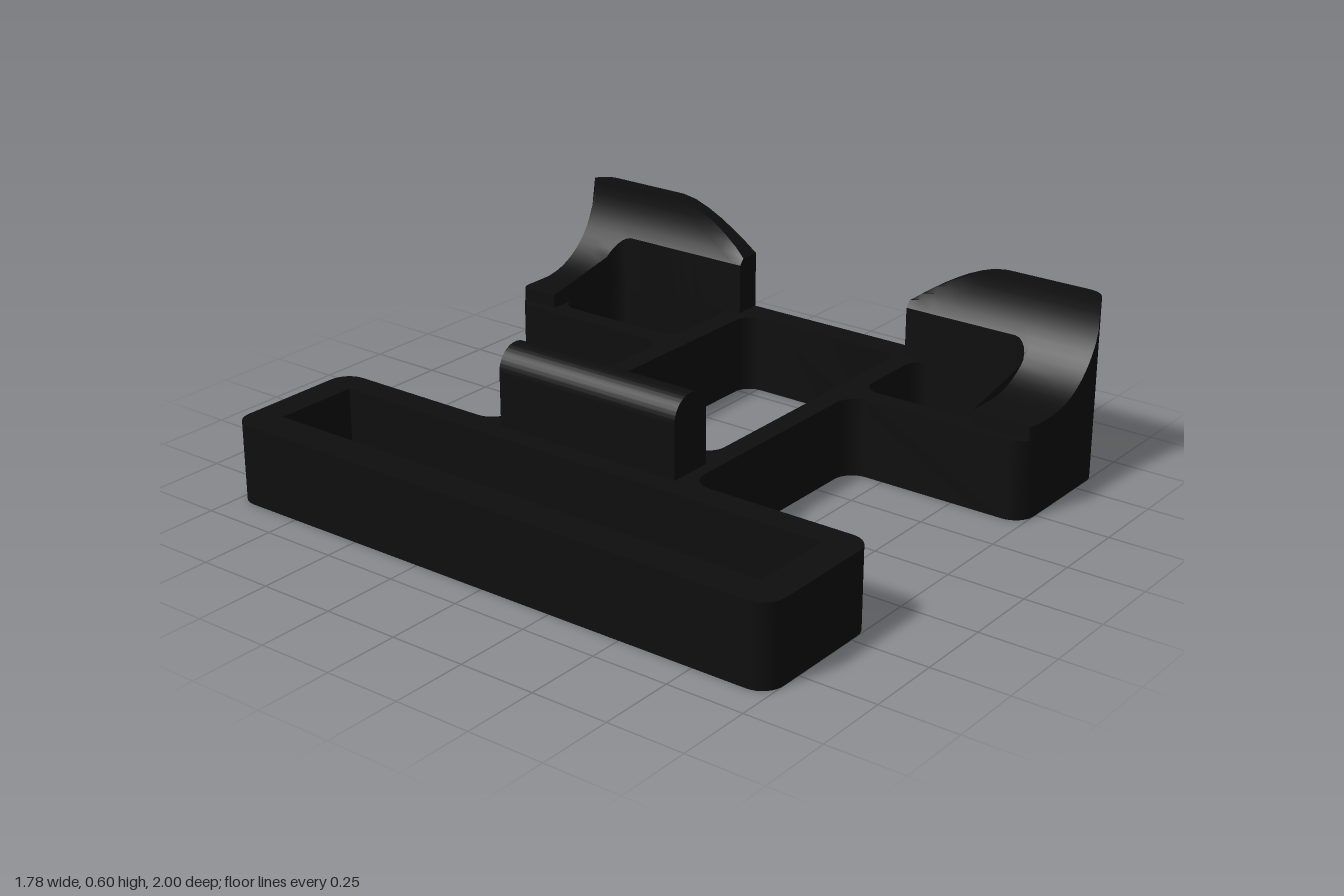
import * as THREE from 'three';
import { toCreasedNormals } from 'three/addons/utils/BufferGeometryUtils.js';

const BASE = 0.26; // height of the flat frame

// Traces a right-angled polygon of [x, z, radius] corners in plan
function trace(path, corners) {
  const k = 0.4477, n = corners.length;
  corners.forEach(([x, z, r], i) => {
    const toward = ([px, pz], d) => {
      const len = Math.hypot(px - x, pz - z);
      return [x + (px - x) / len * d, -(z + (pz - z) / len * d)];
    };
    const prev = corners[(i + n - 1) % n], next = corners[(i + 1) % n];
    const a = toward(prev, r), b = toward(next, r);
    if (i === 0) path.moveTo(...a); else path.lineTo(...a);
    if (r > 0) path.bezierCurveTo(...toward(prev, r * k), ...toward(next, r * k), ...b);
  });
  path.closePath();
  return path;
}

const rectHole = (x0, x1, z0, z1, r) =>
  trace(new THREE.Path(), [[x0, z0, r], [x1, z0, r], [x1, z1, r], [x0, z1, r]]);

// How far a rounded corner of radius r recedes at distance d from the edge
const recede = (d, r) => (d >= r ? 0 : r - Math.sqrt(Math.max(0, r * r - (r - d) ** 2)));

// Scooped profile of the wings across x
function scoop(x) {
  if (x < 0.57) return 0.305;
  if (x <= 0.845) return 0.58 - Math.sqrt(Math.max(0, 0.275 ** 2 - (x - 0.57) ** 2));
  return 0.6;
}

// Wall top falls away towards the middle gap
const wallTop = (d) => (d >= 0.63 ? 0.6 : 0.6 - 0.15 * ((0.63 - d) / 0.3) ** 1.5);

// Raised wing lofted along z beside a window that ends at holeEnd
function wingGeometry(side, holeEnd) {
  const xs = [0.455, 0.57];
  for (let i = 1; i <= 14; i++) xs.push(0.57 + 0.275 * Math.sin(i / 14 * Math.PI / 2));
  xs.push(0.8451, 0.89);

  // Stations as [distance from centre, inner x]
  const stations = [[0.33, 0.8]];
  for (let i = 0; i <= 8; i++) stations.push([0.37 + (holeEnd - 0.43) * i / 8, 0.8]);
  for (let i = 1; i <= 6; i++) {
    const d = 0.06 * (1 - Math.sin(i / 6 * Math.PI / 2));
    stations.push([holeEnd - d, 0.8 - recede(d, 0.06)]);
  }
  stations.push([holeEnd, 0.455], [0.93, 0.455]);
  for (let i = 1; i <= 8; i++) {
    const d = 0.07 * (1 - Math.sin(i / 8 * Math.PI / 2));
    stations.push([1 - d, Math.max(0.455, 0.42 + recede(d, 0.07))]);
  }
  if (side < 0) stations.reverse();

  const n = xs.length, ring = 2 * n, pos = [], idx = [];
  for (const [d, x0] of stations) {
    const x1 = 0.89 - recede(1 - d, 0.07);
    const row = xs.map((x) => Math.min(Math.max(x, x0), x1));
    for (const x of row) pos.push(x, Math.min(scoop(x), wallTop(d)), side * d);
    for (const x of row.reverse()) pos.push(x, BASE - 0.02, side * d);
  }
  for (let s = 0; s < stations.length - 1; s++) {
    for (let k = 0; k < ring; k++) {
      const a = s * ring + k, b = s * ring + (k + 1) % ring;
      idx.push(a, a + ring, b, b, a + ring, b + ring);
    }
  }
  const last = (stations.length - 1) * ring;
  for (let k = 0; k < n - 1; k++) {
    const a = k, b = k + 1, c = ring - 2 - k, d = ring - 1 - k;
    idx.push(a, b, c, a, c, d);
    idx.push(last + a, last + c, last + b, last + a, last + d, last + c);
  }
  const geo = new THREE.BufferGeometry();
  geo.setAttribute('position', new THREE.Float32BufferAttribute(pos, 3));
  geo.setIndex(idx);
  return toCreasedNormals(geo, 0.5);
}

export function createModel() {
  const model = new THREE.Group();
  const black = new THREE.MeshStandardMaterial({ color: 0x0e0e0e });
  black.name = 'matte black';
  const add = (name, geo) => {
    const mesh = new THREE.Mesh(geo, black);
    mesh.name = name;
    model.add(mesh);
    return mesh;
  };

  // Flat frame: slotted bar, two linking rails and windowed bar
  const r = 0.07;
  const half = [[-0.89, 1, r], [-0.4, 1, r], [-0.4, 0.37, r], [0.42, 0.37, r], [0.42, 1, r], [0.89, 1, r]];
  const back = half.map(([x, z, q]) => [x, -z, q]).reverse();
  const plan = trace(new THREE.Shape(), [...half, ...back]);
  plan.holes.push(
    rectHole(-0.775, -0.49, -0.9, 0.89, 0),
    rectHole(-0.2, 0.8, -0.3, 0.3, 0.06),
    rectHole(0.49, 0.8, 0.37, 0.79, 0.06),
    rectHole(0.49, 0.8, -0.86, -0.375, 0.06),
  );
  const frame = new THREE.ExtrudeGeometry(plan, { depth: BASE, bevelEnabled: false, curveSegments: 8 });
  frame.rotateX(-Math.PI / 2);
  add('frame', toCreasedNormals(frame, 0.5));

  // Scooped wings at both ends of the windowed bar
  add('frontWing', wingGeometry(1, 0.79));
  add('backWing', wingGeometry(-1, 0.86));

  // Round-topped upright tab beside the slot
  const tab = new THREE.Shape();
  tab.moveTo(-0.075, 0.24);
  tab.lineTo(0.075, 0.24);
  tab.lineTo(0.075, 0.435);
  tab.absarc(0, 0.435, 0.075, 0, Math.PI, false);
  tab.closePath();
  const tabGeo = new THREE.ExtrudeGeometry(tab, { depth: 0.66, bevelEnabled: false, curveSegments: 20 });
  tabGeo.translate(-0.345, 0, -0.33);
  add('tab', toCreasedNormals(tabGeo, 0.5));

  return model;
}
